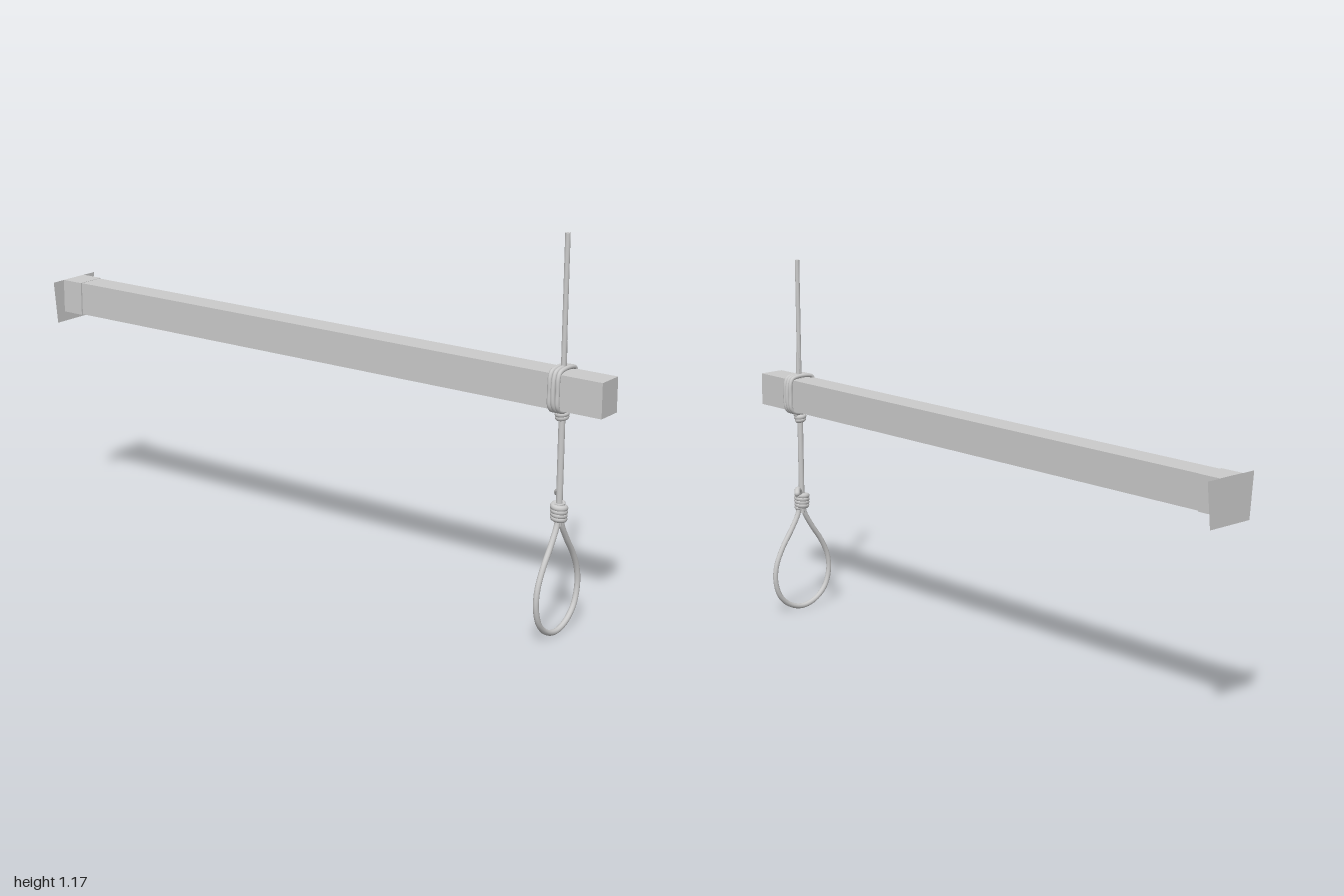
import * as THREE from 'three';

const CX = -0.006;   // beam and rope centre line
const RZ = 0.85;     // rope position along the beam

export function createModel() {
  const model = new THREE.Group();
  const mat = new THREE.MeshStandardMaterial({ color: 0xcccccc });
  const flat = new THREE.MeshStandardMaterial({ color: 0xcccccc, flatShading: true, side: THREE.DoubleSide });

  const add = (name, geo, material = mat, parent = model) => {
    const mesh = new THREE.Mesh(geo, material);
    mesh.name = name;
    parent.add(mesh);
    return mesh;
  };
  const vec = p => new THREE.Vector3(...p);

  // Rope through points, with rounded caps on open ends
  const rope = (name, pts, r, segs, closed = false) => {
    const g = new THREE.Group();
    g.name = name;
    const v = pts.map(vec);
    add(name + 'Strand', new THREE.TubeGeometry(new THREE.CatmullRomCurve3(v, closed), segs, r, 10, closed), mat, g);
    if (!closed) {
      for (const end of [v[0], v[v.length - 1]]) {
        add(name + 'End', new THREE.SphereGeometry(r, 10, 6), mat, g).position.copy(end);
      }
    }
    model.add(g);
  };

  // Helix of rope wound about the vertical rope line
  const coil = (name, y0, y1, turns, r0, r1, tube) => {
    const pts = [];
    const n = turns * 12;
    for (let i = 0; i <= n; i++) {
      const t = i / n, a = t * turns * Math.PI * 2, r = r0 + (r1 - r0) * t;
      pts.push([CX + Math.cos(a) * r, y0 + (y1 - y0) * t, RZ + Math.sin(a) * r]);
    }
    rope(name, pts, tube, n * 2);
  };

  // Square beam with a slightly wider collar at the back
  add('beam', new THREE.BoxGeometry(0.083, 0.103, 1.998), flat).position.set(CX - 0.002, 0.732, 0.001);
  add('beamCollar', new THREE.BoxGeometry(0.093, 0.105, 0.075), flat).position.set(CX - 0.002, 0.732, -0.962);

  // Tapered wall plate closing the back end
  const plate = new THREE.Shape([[-0.101, 0.784], [-0.087, 0.648], [0.074, 0.648], [0.088, 0.784]]
    .map(p => new THREE.Vector2(...p)));
  add('wallPlate', new THREE.ShapeGeometry(plate), flat).position.z = -1;

  // Upright rope above the beam, with a short doubled strand at its foot
  add('upperRope', new THREE.CylinderGeometry(0.0075, 0.0075, 0.40, 10)).position.set(CX, 0.972, RZ);
  add('upperRopeStrand', new THREE.CylinderGeometry(0.006, 0.0075, 0.09, 10)).position.set(CX + 0.004, 0.825, RZ);

  // Three turns of rope bound around the beam
  for (let i = 0; i < 3; i++) {
    const z = RZ + (i - 1) * 0.013, b = i === 1 ? 0.003 : 0;
    const side = [[0.036, 0.789], [0.046, 0.775], [0.048 + b, 0.732], [0.046, 0.69], [0.03, 0.675]];
    const pts = side.map(([x, y]) => [CX + x, y, z]);
    pts.push(...side.slice().reverse().map(([x, y]) => [CX - x - 0.002, y, z]));
    rope('beamWrap', pts, 0.0065, 80, true);
  }

  // Small knot under the beam and the hanging rope
  coil('beamKnot', 0.664, 0.644, 2, 0.013, 0.01, 0.009);
  add('hangingRope', new THREE.CylinderGeometry(0.0095, 0.0095, 0.35, 10)).position.set(CX, 0.505, RZ);

  // Main coil, with its core and loose tail
  coil('mainCoil', 0.348, 0.392, 4, 0.015, 0.017, 0.0095);
  add('coilCore', new THREE.CylinderGeometry(0.017, 0.015, 0.054, 12)).position.set(CX, 0.37, RZ);
  rope('tail', [[0.008, 0.382, 0.845], [0.01, 0.402, 0.841], [0.02, 0.416, 0.834],
    [0.033, 0.416, 0.823], [0.041, 0.409, 0.814]], 0.0095, 24);

  // Teardrop loop, mirrored about the rope line
  const half = [[0.008, 0.352], [0.014, 0.328], [0.042, 0.28], [0.082, 0.222], [0.108, 0.165],
    [0.112, 0.112], [0.094, 0.059], [0.054, 0.023]];
  const loop = half.map(([x, y]) => [CX + 0.003 + x, y, RZ]);
  loop.push([CX + 0.003, 0.0085, RZ]);
  loop.push(...half.slice().reverse().map(([x, y]) => [CX + 0.003 - x, y, RZ]));
  rope('ropeLoop', loop, 0.0085, 96);

  return model;
}
